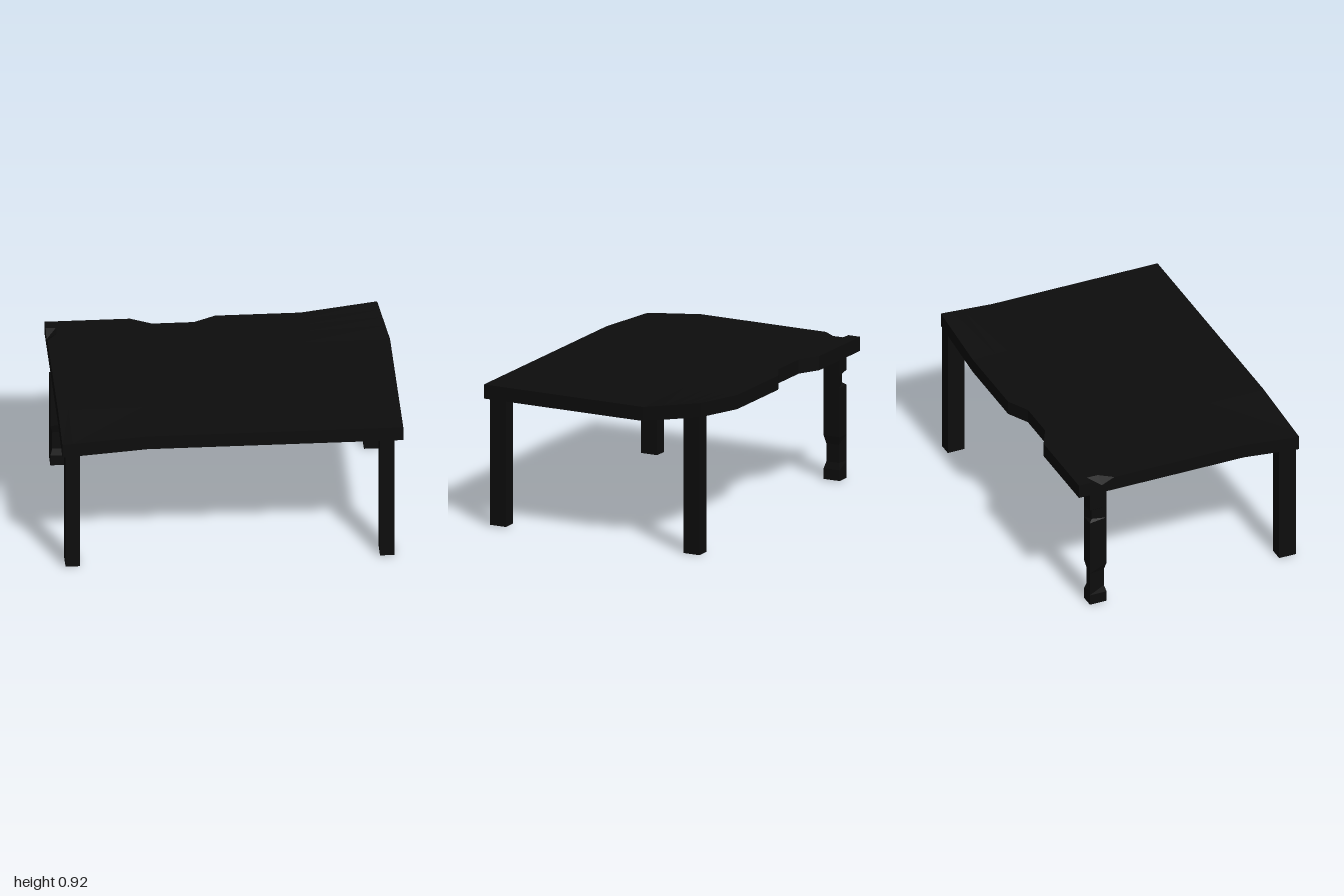
import * as THREE from 'three';

const material = new THREE.MeshStandardMaterial({ color: 0x0d0d0d, flatShading: true });

// Apply a rule to every vertex, then refresh the normals
function reshape(geometry, rule) {
  const pos = geometry.attributes.position;
  const v = new THREE.Vector3();
  for (let i = 0; i < pos.count; i++) {
    v.fromBufferAttribute(pos, i);
    rule(v);
    pos.setXYZ(i, v.x, v.y, v.z);
  }
  geometry.computeVertexNormals();
  return geometry;
}

// Warped tabletop on an uneven grid of x and z lines
function tabletop() {
  const xs = [-1, -0.94, -0.5, -0.375, -0.13, 0, 0.5, 1];
  const zs = [-0.708, -0.63, -0.56, -0.48, -0.354, 0, 0.354, 0.708];
  const n = xs.length - 1;
  const ramp = (t) => Math.max(0, (t - 0.5) / 0.5);
  const geometry = new THREE.BoxGeometry(1, 0.085, 1, n, 1, n);
  return reshape(geometry, (v) => {
    const i = Math.round((v.x + 0.5) * n);
    const k = Math.round((v.z + 0.5) * n);
    const upper = v.y > 0;
    const x = xs[i];
    const z = zs[k];
    const lifted = ramp(x) * ramp(-z / 0.708);
    const sagged = ramp(-x) * ramp(z / 0.708);
    v.set(x - 0.05 * lifted, 0.8225 + v.y + 0.057 * lifted - 0.037 * sagged, z);
    // Bite out of the back edge
    if (k === 0 && (i === 3 || i === 4)) v.z = -0.64;
    // Small dent in the right rim
    if (upper && i === 0 && k === 2) v.y -= 0.035;
  });
}

// Plain square leg
function leg(bottom, top) {
  return new THREE.BoxGeometry(0.085, top - bottom, 0.107).translate(0, (top + bottom) / 2, 0);
}

// Leg with a worn waist low down and a nick in its outer back corner
function wornLeg(bottom, top) {
  const levels = [bottom, 0.07, 0.11, 0.22, 0.27, 0.57, 0.585, 0.645, 0.66, top];
  const n = levels.length - 1;
  const geometry = new THREE.BoxGeometry(0.085, 1, 0.107, 1, n, 1);
  return reshape(geometry, (v) => {
    const level = Math.round((v.y + 0.5) * n);
    const outerCorner = v.x < 0 && v.z < 0;
    v.y = levels[level];
    if ((level === 2 || level === 3) && !outerCorner) {
      v.x *= 0.72;
      v.z *= 0.78;
    }
    if ((level === 6 || level === 7) && outerCorner) {
      v.x += 0.02;
      v.z += 0.02;
    }
  });
}

export function createModel() {
  const model = new THREE.Group();
  model.name = 'table';

  const add = (name, geometry, x = 0, z = 0) => {
    const mesh = new THREE.Mesh(geometry, material);
    mesh.name = name;
    mesh.position.set(x, 0, z);
    model.add(mesh);
  };

  add('tabletop', tabletop());
  add('frontLeftLeg', leg(0.005, 0.81), 0.907, 0.642);
  add('frontRightLeg', leg(0.005, 0.8), -0.938, 0.642);
  add('backLeftLeg', leg(0, 0.84), 0.907, -0.648);
  add('backRightLeg', wornLeg(0.005, 0.81), -0.938, -0.575);
  return model;
}
